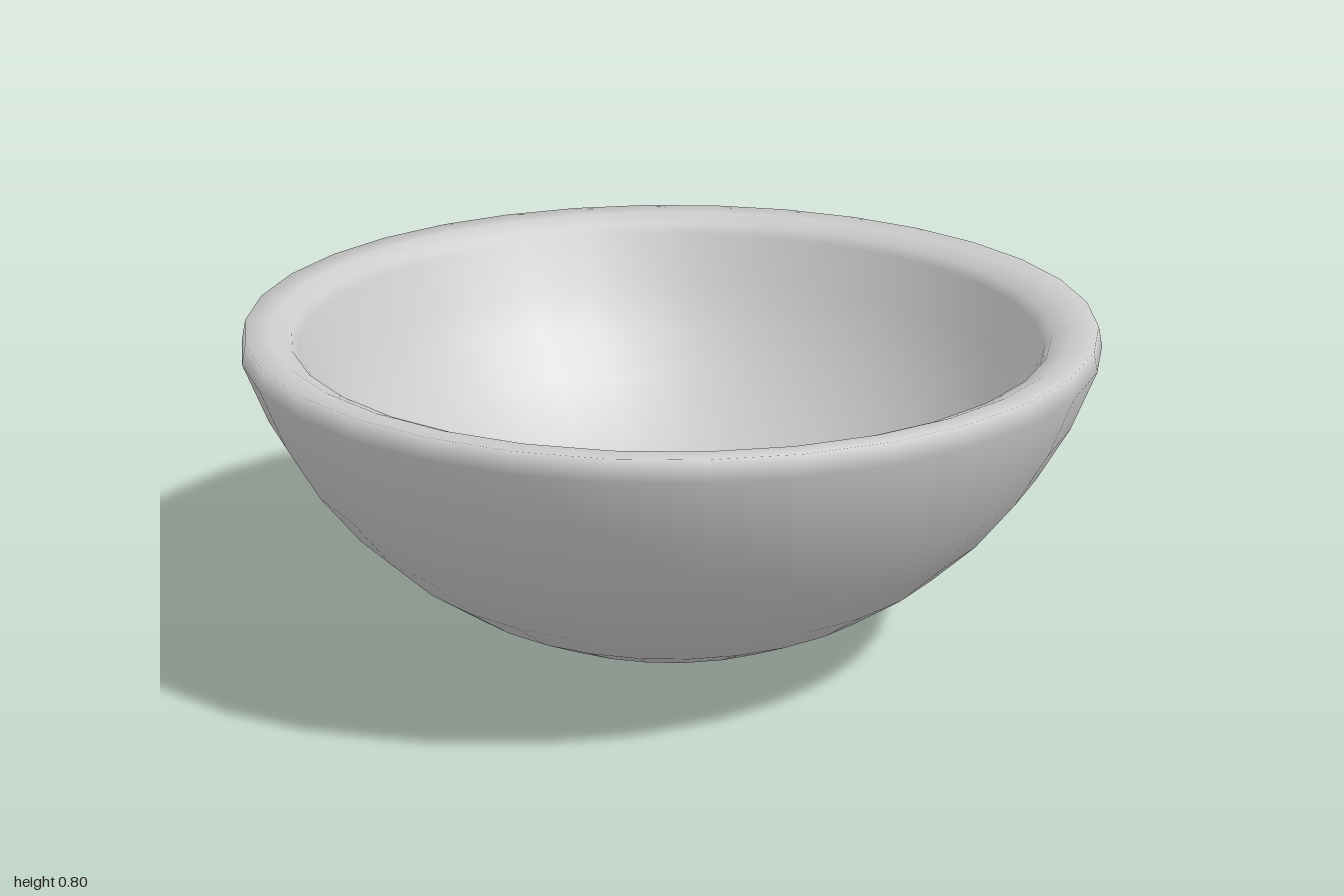
import * as THREE from 'three';

// Points along a circular arc about (0, centerY), angles measured from straight down
function arc(radius, centerY, from, to, steps) {
  const points = [];
  for (let i = 0; i <= steps; i++) {
    const a = from + (to - from) * (i / steps);
    points.push(new THREE.Vector2(Math.max(0, radius * Math.sin(a)), centerY - radius * Math.cos(a)));
  }
  return points;
}

export function createModel() {
  const model = new THREE.Group();
  model.name = 'bowl';
  const material = new THREE.MeshStandardMaterial({ color: 0xcccccc });

  const centerY = 1.04;
  const outerEdge = Math.asin(1 / 1.04);
  const innerEdge = Math.asin(0.87 / 0.917);

  // Outer wall, softly sloping rim, then the inner wall down to the middle
  const profile = [
    ...arc(1.04, centerY, 0, outerEdge, 9),
    new THREE.Vector2(0.99, 0.8),
    new THREE.Vector2(0.93, 0.795),
    new THREE.Vector2(0.885, 0.775),
    ...arc(0.917, centerY, innerEdge, 0, 9),
  ];
  const bowl = new THREE.Mesh(new THREE.LatheGeometry(profile, 32), material);
  bowl.name = 'bowlShell';
  model.add(bowl);
  return model;
}
